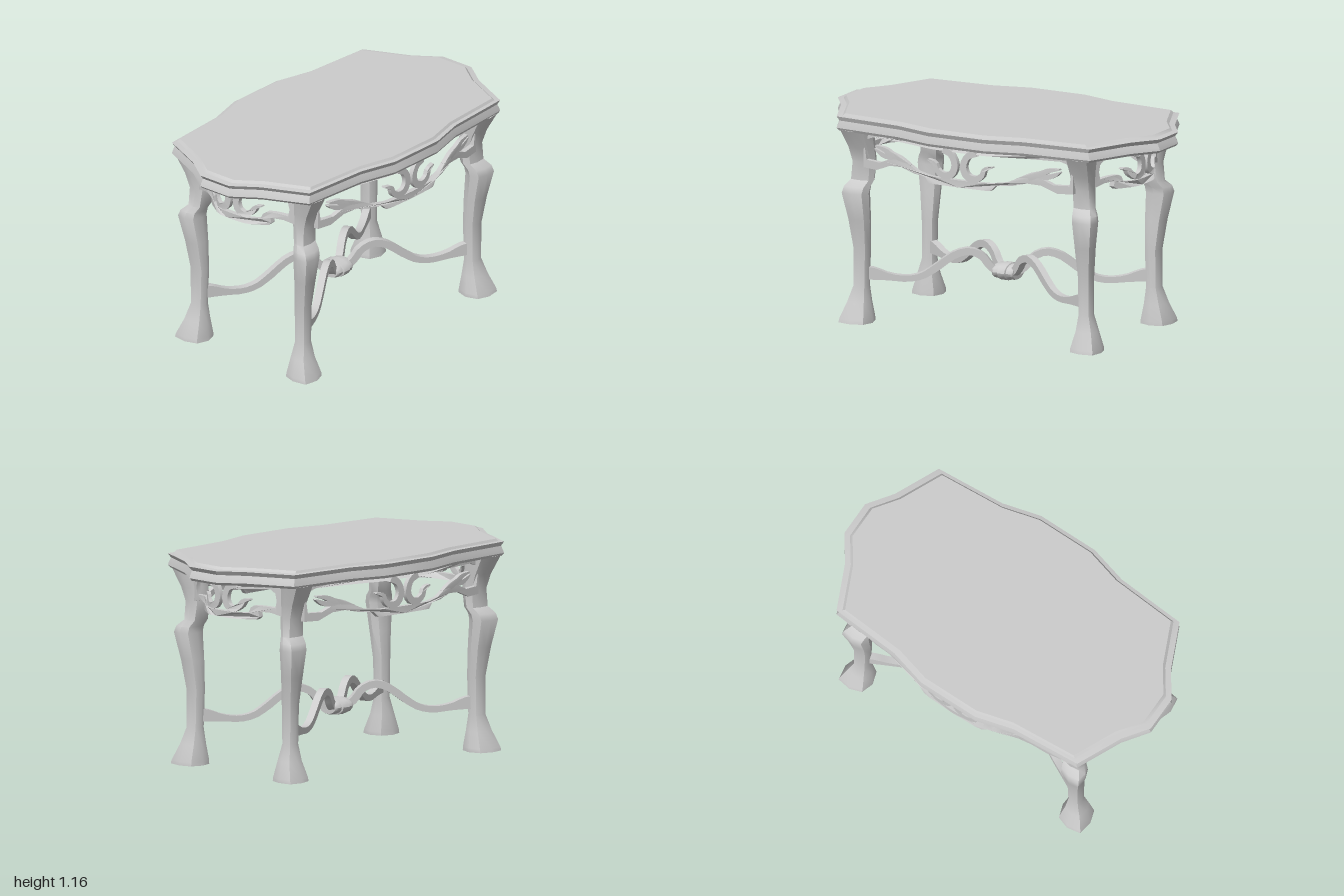
import * as THREE from 'three';
import { toCreasedNormals } from 'three/addons/utils/BufferGeometryUtils.js';

const material = new THREE.MeshStandardMaterial({ color: 0xcccccc, side: THREE.DoubleSide });

function addMesh(parent, geometry, name, crease = 0.6) {
  const mesh = new THREE.Mesh(toCreasedNormals(geometry, crease), material);
  mesh.name = name;
  parent.add(mesh);
  return mesh;
}

// Closed skin over rings of [x, y, z], listed from bottom to top
function loft(rings) {
  const n = rings[0].length, pos = rings.flat(2), index = [];
  const at = (i, j) => i * n + (j % n);
  for (let i = 0; i < rings.length - 1; i++)
    for (let j = 0; j < n; j++)
      index.push(at(i, j), at(i + 1, j), at(i + 1, j + 1), at(i, j), at(i + 1, j + 1), at(i, j + 1));
  const last = rings.length - 1;
  for (const i of [0, last]) {
    const c = pos.length / 3;
    for (let k = 0; k < 3; k++) pos.push(rings[i].reduce((s, p) => s + p[k], 0) / n);
    for (let j = 0; j < n; j++)
      i === last ? index.push(c, at(i, j + 1), at(i, j)) : index.push(c, at(i, j), at(i, j + 1));
  }
  const g = new THREE.BufferGeometry();
  g.setAttribute('position', new THREE.Float32BufferAttribute(pos, 3));
  g.setIndex(index);
  return g;
}

// Flat band outline along a smooth path of [x, y, half width]
function ribbon(path, steps = 18) {
  const curve = new THREE.CatmullRomCurve3(path.map(p => new THREE.Vector3(...p)));
  const a = [], b = [];
  for (let i = 0; i <= steps; i++) {
    const p = curve.getPoint(i / steps), t = curve.getTangent(i / steps);
    const l = Math.hypot(t.x, t.y), nx = -t.y / l * p.z, ny = t.x / l * p.z;
    a.push([p.x + nx, p.y + ny]);
    b.unshift([p.x - nx, p.y - ny]);
  }
  return a.concat(b);
}

const mirrorX = pts => pts.map(([x, ...r]) => [-x, ...r]).reverse();

// Split long edges so a flat outline can be bent
function dense(pts) {
  return pts.flatMap((p, i) => {
    const q = pts[(i + 1) % pts.length];
    const n = Math.max(1, Math.ceil(Math.abs(q[0] - p[0]) / 0.04));
    return Array.from({ length: n }, (_, k) =>
      new THREE.Vector2(p[0] + (q[0] - p[0]) * k / n, p[1] + (q[1] - p[1]) * k / n));
  });
}

// Plate cut from an outline, pushed forward by a bow rule of [x, z] points
function plate(outline, hole, depth, bow) {
  const shape = new THREE.Shape(dense(outline));
  if (hole) shape.holes.push(new THREE.Path(dense(hole)));
  const g = new THREE.ExtrudeGeometry(shape, { depth, bevelEnabled: false });
  const p = g.attributes.position;
  for (let i = 0; i < p.count; i++) {
    const x = Math.abs(p.getX(i));
    let k = 1;
    while (k < bow.length - 1 && x > bow[k][0]) k++;
    const [x0, z0] = bow[k - 1], [x1, z1] = bow[k];
    p.setZ(i, p.getZ(i) - depth + z0 + (z1 - z0) * (x - x0) / (x1 - x0));
  }
  return g;
}

// Right halves of the aprons; bow gives the distance from the table centre
const endApron = {
  lower: [[0.2, 0.87], [0.215, 0.885], [0.21, 0.915], [0.28, 0.913], [0.35, 0.895]], end: 0.35,
  hole: [[0.165, 0.905], [0.175, 0.935], [0.19, 0.947], [0.25, 0.945], [0.305, 0.94],
    [0.313, 0.98], [0.305, 1.02], [0.28, 1.04], [0.23, 1.047]],
  scrolls: [
    [[0.1, 1.058, 0.02], [0.05, 1.035, 0.018], [0.028, 0.98, 0.02], [0.045, 0.935, 0.02],
      [0.09, 0.922, 0.016], [0.125, 0.945, 0.014], [0.14, 0.97, 0.011], [0.168, 0.978, 0.004]]],
  bow: [[0, 0.86], [0.1, 0.855], [0.22, 0.775], [0.35, 0.73]],
};
const sideApron = {
  lower: [[0.19, 0.855], [0.22, 0.885], [0.3, 0.89], [0.39, 0.91], [0.47, 0.905], [0.56, 0.868], [0.65, 0.87]], end: 0.65,
  hole: [[0.19, 0.895], [0.27, 0.905], [0.36, 0.945], [0.45, 0.95], [0.54, 0.912], [0.63, 0.915],
    [0.64, 0.98], [0.625, 1.03], [0.58, 1.047], [0.3, 1.047]],
  scrolls: [
    [[0.1, 1.055, 0.02], [0.05, 1.03, 0.018], [0.026, 0.97, 0.02], [0.05, 0.92, 0.02],
      [0.1, 0.91, 0.018], [0.14, 0.935, 0.015], [0.155, 0.97, 0.012], [0.2, 0.985, 0.004]],
    [[0.33, 0.92, 0.012], [0.4, 0.945, 0.02], [0.46, 0.96, 0.022], [0.5, 0.985, 0.014], [0.57, 1.0, 0.004]],
    [[0.45, 0.955, 0.015], [0.51, 0.955, 0.014], [0.55, 0.97, 0.01], [0.575, 0.985, 0.003]]],
  bow: [[0, 0.54], [0.17, 0.535], [0.38, 0.48], [0.65, 0.435]],
};

function buildApron(spec, name) {
  const g = new THREE.Group();
  g.name = name;
  const half = [...spec.lower, [spec.end, 1.08]];
  addMesh(g, plate([...mirrorX(half), ...half], [...mirrorX(spec.hole), ...spec.hole], 0.028, spec.bow), 'apronFrame', 0.4);
  for (const path of spec.scrolls)
    for (const pts of [path, mirrorX(path)])
      addMesh(g, plate(ribbon(pts), null, 0.026, spec.bow), 'apronScroll', 0.4);
  return g;
}

// Leg sections: height, x range, z range
const legSections = [
  [0, 0.295, 0.48, 0.62, 0.8], [0.02, 0.297, 0.475, 0.62, 0.798], [0.11, 0.312, 0.435, 0.642, 0.765],
  [0.2, 0.328, 0.41, 0.655, 0.735], [0.41, 0.322, 0.412, 0.65, 0.735], [0.57, 0.332, 0.437, 0.64, 0.755],
  [0.72, 0.342, 0.468, 0.635, 0.782], [0.755, 0.34, 0.455, 0.63, 0.775], [0.79, 0.325, 0.417, 0.62, 0.75],
  [0.89, 0.312, 0.415, 0.615, 0.742], [0.97, 0.325, 0.442, 0.612, 0.752], [1.075, 0.335, 0.5, 0.61, 0.775],
];

function legGeometry(sx, sz) {
  return loft(legSections.map(([y, x0, x1, z0, z1]) => {
    const ring = Array.from({ length: 8 }, (_, k) => {
      const a = k * Math.PI / 4, r = k === 1 ? 1.22 : k % 2 ? 1.06 : 1;
      return [sx * ((x0 + x1) / 2 + (x1 - x0) / 2 * r * Math.cos(a)), y,
        sz * ((z0 + z1) / 2 + (z1 - z0) / 2 * r * Math.sin(a))];
    });
    return sx * sz < 0 ? ring.reverse() : ring;
  }));
}

export function createModel() {
  const table = new THREE.Group();
  table.name = 'table';

  // Shaped top with a moulded rim
  const q = [[0.578, 0.175], [0.52, 0.39], [0.492, 0.785], [0.24, 0.9], [0.1, 1]];
  const flip = pts => pts.map(([x, z]) => [x, -z]).reverse();
  const front = [...q, ...mirrorX(q)];
  const outline = [...front, ...flip(front)];
  const rim = [[1.07, 0.985], [1.085, 1], [1.1, 0.995], [1.125, 0.982], [1.148, 1], [1.152, 0.965], [1.165, 0.95]];
  addMesh(table, loft(rim.map(([y, s]) => outline.map(([x, z]) => [x * s, y, z * s]))), 'tableTop', 0.5);

  // Pierced aprons
  for (const turn of [0, 1, 2, 3]) {
    const apron = turn % 2 ? buildApron(sideApron, 'sideApron') : buildApron(endApron, 'endApron');
    apron.rotation.y = turn * Math.PI / 2;
    table.add(apron);
  }

  // Legs and the wavy stretchers running from each to the centre
  const wave = [[0.01, 0.275, 0.02], [0.06, 0.285, 0.02], [0.1, 0.315, 0.021], [0.14, 0.365, 0.02], [0.21, 0.392, 0.02],
    [0.29, 0.37, 0.02], [0.38, 0.305, 0.02], [0.46, 0.255, 0.018], [0.54, 0.238, 0.017], [0.64, 0.247, 0.019], [0.72, 0.263, 0.032], [0.77, 0.268, 0.036]];
  for (const sx of [1, -1])
    for (const sz of [1, -1]) {
      addMesh(table, legGeometry(sx, sz), 'leg', 0.7);
      const g = new THREE.ExtrudeGeometry(new THREE.Shape(dense(ribbon(wave, 24))), { depth: 0.04, bevelEnabled: false });
      g.translate(0, 0, -0.02);
      addMesh(table, g, 'stretcher', 0.5).rotation.y = -Math.atan2(sz * 0.69, sx * 0.365);
    }

  // Ringed clasp where the stretchers meet
  const clasp = new THREE.LatheGeometry([[0, -0.065], [0.038, -0.065], [0.042, -0.055], [0.042, -0.025], [0.048, -0.022],
    [0.048, 0.022], [0.042, 0.025], [0.042, 0.055], [0.038, 0.065], [0, 0.065]].map(p => new THREE.Vector2(...p)), 16);
  clasp.rotateX(Math.PI / 2).scale(1.7, 1, 1).translate(0, 0.282, 0);
  addMesh(table, clasp, 'clasp');

  return table;
}
